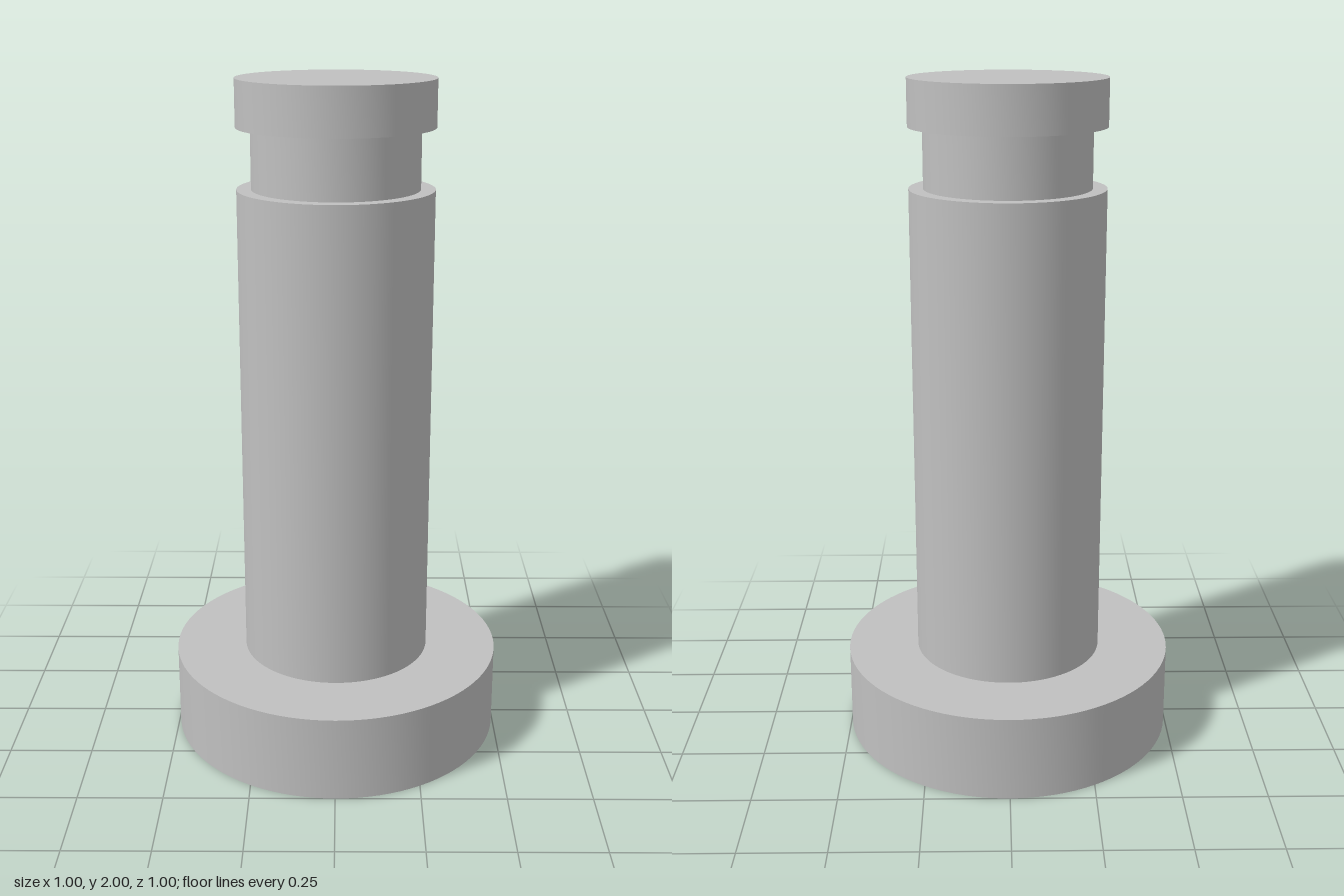
import * as THREE from 'three';
import { toCreasedNormals } from 'three/addons/utils/BufferGeometryUtils.js';

const SEGMENTS = 96;
const BASE_R = 0.5, SHAFT_R = 0.285, NECK_R = 0.243;
const BASE_TOP = 0.257, SHAFT_TOP = 1.69, NECK_TOP = 1.864, TOP = 2;

export function createModel() {
  const steel = new THREE.MeshStandardMaterial({ color: 0xc0c0c0 });
  steel.name = 'steel';
  const pin = new THREE.Group();
  pin.name = 'groovedPin';

  // Turned section from [radius, height] points, listed bottom to top, with sharp rims
  function turn(name, profile) {
    const points = profile.map(([r, y]) => new THREE.Vector2(r, y));
    const geometry = toCreasedNormals(new THREE.LatheGeometry(points, SEGMENTS), Math.PI / 6);
    const mesh = new THREE.Mesh(geometry, steel);
    mesh.name = name;
    pin.add(mesh);
  }

  // Wide foot flange, with its underside and upper shoulder
  turn('baseFlange', [[0, 0], [BASE_R, 0], [BASE_R, BASE_TOP], [SHAFT_R, BASE_TOP]]);
  // Long shaft, ending in a narrow shoulder
  turn('shaft', [[SHAFT_R, BASE_TOP], [SHAFT_R, SHAFT_TOP], [NECK_R, SHAFT_TOP]]);
  // Retaining groove
  turn('grooveNeck', [[NECK_R, SHAFT_TOP], [NECK_R, NECK_TOP]]);
  // Head above the groove
  turn('head', [[NECK_R, NECK_TOP], [SHAFT_R, NECK_TOP], [SHAFT_R, TOP], [0, TOP]]);

  return pin;
}
